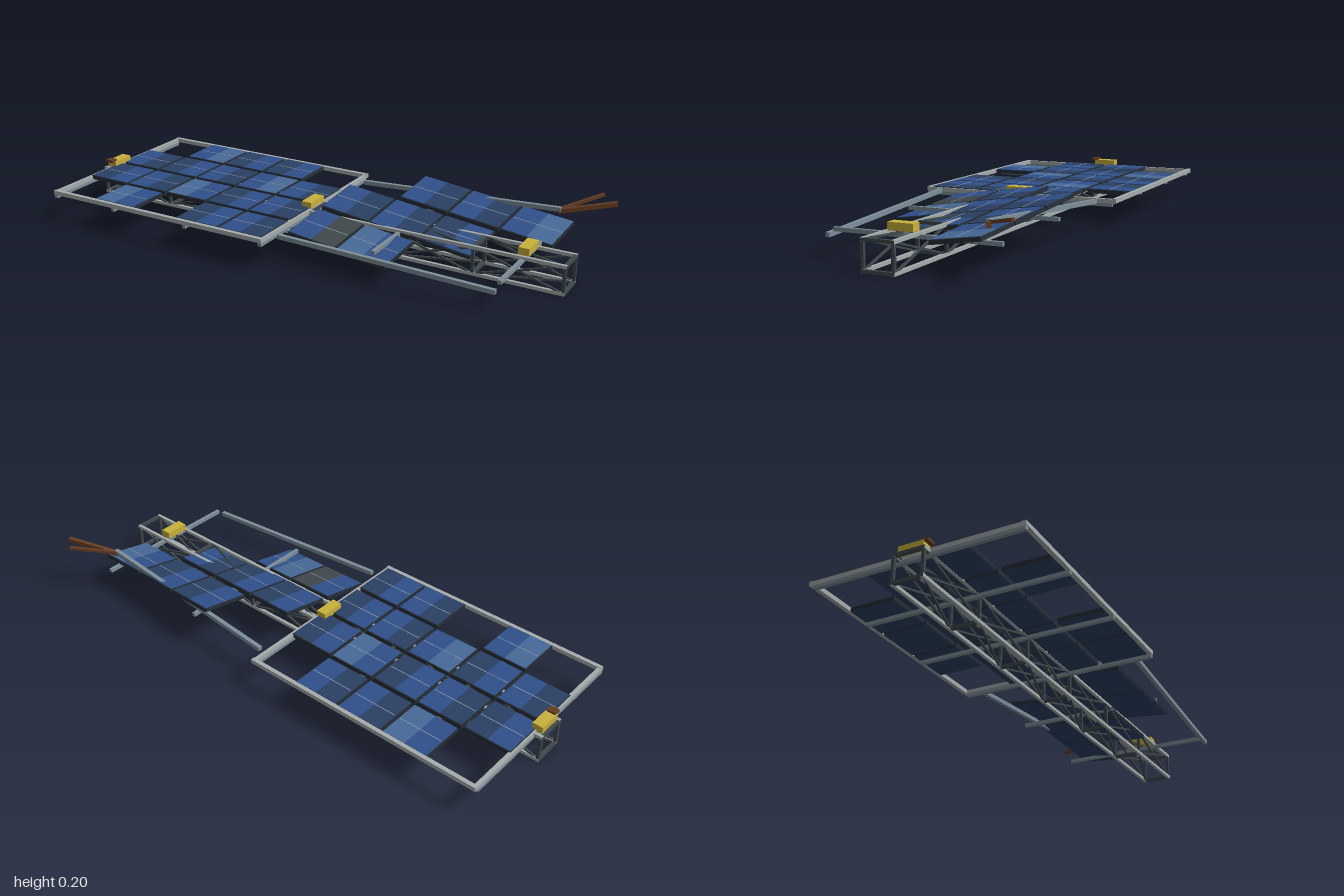
import * as THREE from 'three';

const mat = (name, color) => Object.assign(new THREE.MeshStandardMaterial({ color }), { name });

export function createModel() {
  const M = {
    light: mat('galvanisedSteel', 0xa6acac),
    steel: mat('blueGreySteel', 0x7d8e98),
    dark: mat('darkSteel', 0x3f484c),
    frame: mat('panelFrame', 0x262e36),
    m: mat('midBlueCell', 0x30508a),
    d: mat('darkBlueCell', 0x2a4063),
    l: mat('paleBlueCell', 0x476a98),
    line: mat('busLine', 0x8a9cb0),
    yellow: mat('yellowPaint', 0xc9b13c),
    rust: mat('rust', 0x663d24),
  };
  const model = new THREE.Group();
  model.name = 'brokenSolarArray';

  const box = (parent, name, m, size, pos) => {
    const mesh = new THREE.Mesh(new THREE.BoxGeometry(...size), m);
    mesh.position.set(...pos);
    mesh.name = name;
    parent.add(mesh);
    return mesh;
  };
  // square bar between two points
  const bar = (parent, name, m, a, b, t, h = t) => {
    const A = new THREE.Vector3(...a), B = new THREE.Vector3(...b);
    const mesh = box(parent, name, m, [t, h, A.distanceTo(B)], A.clone().add(B).multiplyScalar(0.5).toArray());
    mesh.lookAt(B);
    return mesh;
  };
  const group = (name, parent = model) => {
    const g = new THREE.Group();
    g.name = name;
    parent.add(g);
    return g;
  };

  // Lattice truss
  const truss = group('truss');
  const zs = [-0.031, 0.077], ys = [0.007, 0.105], x0 = -0.994, bay = 0.3255;
  for (const z of zs) for (const y of ys) box(truss, 'chord', M.light, [1.965, 0.012, 0.012], [-0.0175, y, z]);
  for (let i = 0; i <= 6; i++) {
    const x = x0 + i * bay;
    for (const z of zs) box(truss, 'post', M.dark, [0.011, 0.1, 0.011], [x, 0.056, z]);
    for (const y of ys) box(truss, 'crossTie', M.dark, [0.013, 0.011, 0.119], [x, y, 0.023]);
    if (i === 6) continue;
    for (const z of zs) {
      bar(truss, 'sideBrace', M.dark, [x, ys[0], z], [x + bay, ys[1], z], 0.007);
      bar(truss, 'sideBrace', M.dark, [x, ys[1], z], [x + bay, ys[0], z], 0.007);
    }
    bar(truss, 'topBrace', M.dark, [x, ys[1], zs[0]], [x + bay, ys[1], zs[1]], 0.007);
    bar(truss, 'bottomBrace', M.dark, [x, ys[0], zs[1]], [x + bay, ys[0], zs[0]], 0.007);
  }

  // Solar panel: dark tray, two cell strips and a bus line; top face at y = 0
  const panel = (parent, x, z, w, d, tones) => {
    const p = group('solarPanel', parent);
    p.position.set(x, 0, z);
    box(p, 'tray', M.frame, [w, 0.014, d], [0, -0.009, 0]);
    box(p, 'backSheet', M.d, [w - 0.006, 0.002, d - 0.006], [0, -0.0165, 0]);
    [...tones].forEach((t, i) =>
      box(p, 'cellStrip', t === 'g' ? M.dark : M[t], [w / 2 - 0.003, 0.003, d - 0.006], [(i - 0.5) * (w / 2 - 0.003), -0.0015, 0]));
    box(p, 'busLine', M.line, [w - 0.012, 0.002, 0.003], [0, -0.0002, 0]);
  };

  // Intact wing
  const wing = group('intactWing');
  for (const z of [-0.365, 0.403]) box(wing, 'longRail', M.light, [0.955, 0.016, 0.016], [-0.4925, 0.109, z]);
  for (const x of [-0.963, -0.023]) box(wing, 'endRail', M.light, [0.014, 0.016, 0.77], [x, 0.107, 0.019]);
  for (const x of [-0.963, -0.68, -0.35, -0.023])
    box(wing, 'crossBeam', M.steel, [0.014, 0.014, 0.765], [x, 0.094, 0.026]);
  const wingPanels = group('wingPanels', wing);
  wingPanels.position.y = 0.118;
  [
    ['', 'ml', 'dm', 'dm', ''],
    ['md', 'dm', 'md', 'ml', 'md'],
    ['dm', 'md', 'lm', 'dm', 'md'],
    ['', 'lm', '', 'dm', 'md'],
  ].forEach((row, r) => row.forEach((tones, c) => {
    if (tones) panel(wingPanels, -0.873 + c * 0.1895, -0.272 + r * 0.193, 0.18, 0.177, tones);
  }));

  // Broken wing: bent rails, beams and a tilted sheet of panels
  const broken = group('brokenWing');
  bar(broken, 'bentFrontRail', M.steel, [0.01, 0.108, 0.338], [0.81, 0.074, 0.307], 0.016);
  bar(broken, 'bentBackRail', M.steel, [0.01, 0.108, -0.3], [0.82, 0.162, -0.273], 0.016);
  box(broken, 'crossBeam', M.steel, [0.014, 0.014, 0.6], [0.81, 0.096, -0.02]);
  box(broken, 'crossBeam', M.steel, [0.014, 0.014, 0.58], [0.35, 0.096, -0.015]);
  const sheet = group('tiltedPanels', broken);
  const X = new THREE.Vector3(0.206, -0.0165, 0.0155).normalize();
  const N = new THREE.Vector3(-0.02, -0.032, 0.21).cross(X).normalize();
  const Z = X.clone().cross(N);
  sheet.quaternion.setFromRotationMatrix(new THREE.Matrix4().makeBasis(X, N, Z));
  sheet.position.set(0, 0.1, 0.268);
  [
    ['mg', 'lm'],
    ['md', 'md', 'dm'],
    ['', 'md', 'md', 'ml'],
  ].forEach((row, r) => row.forEach((tones, c) => {
    if (tones) panel(sheet, (c + 0.5) * 0.207, -(r + 0.45) * 0.212, 0.199, 0.188, tones);
  }));

  // Snapped rusty struts
  bar(broken, 'rustyStrut', M.rust, [0.81, 0.154, -0.272], [0.995, 0.187, -0.363], 0.016);
  bar(broken, 'rustyStrutThin', M.rust, [0.815, 0.16, -0.28], [0.932, 0.196, -0.41], 0.011);

  // Yellow joint housings on the truss
  for (const x of [-0.97, -0.037, 0.81]) box(model, 'jointHousing', M.yellow, [0.04, 0.027, 0.092], [x, 0.124, 0.024]);
  box(model, 'rustyCap', M.rust, [0.034, 0.011, 0.028], [-0.97, 0.139, 0.071]);

  return model;
}
